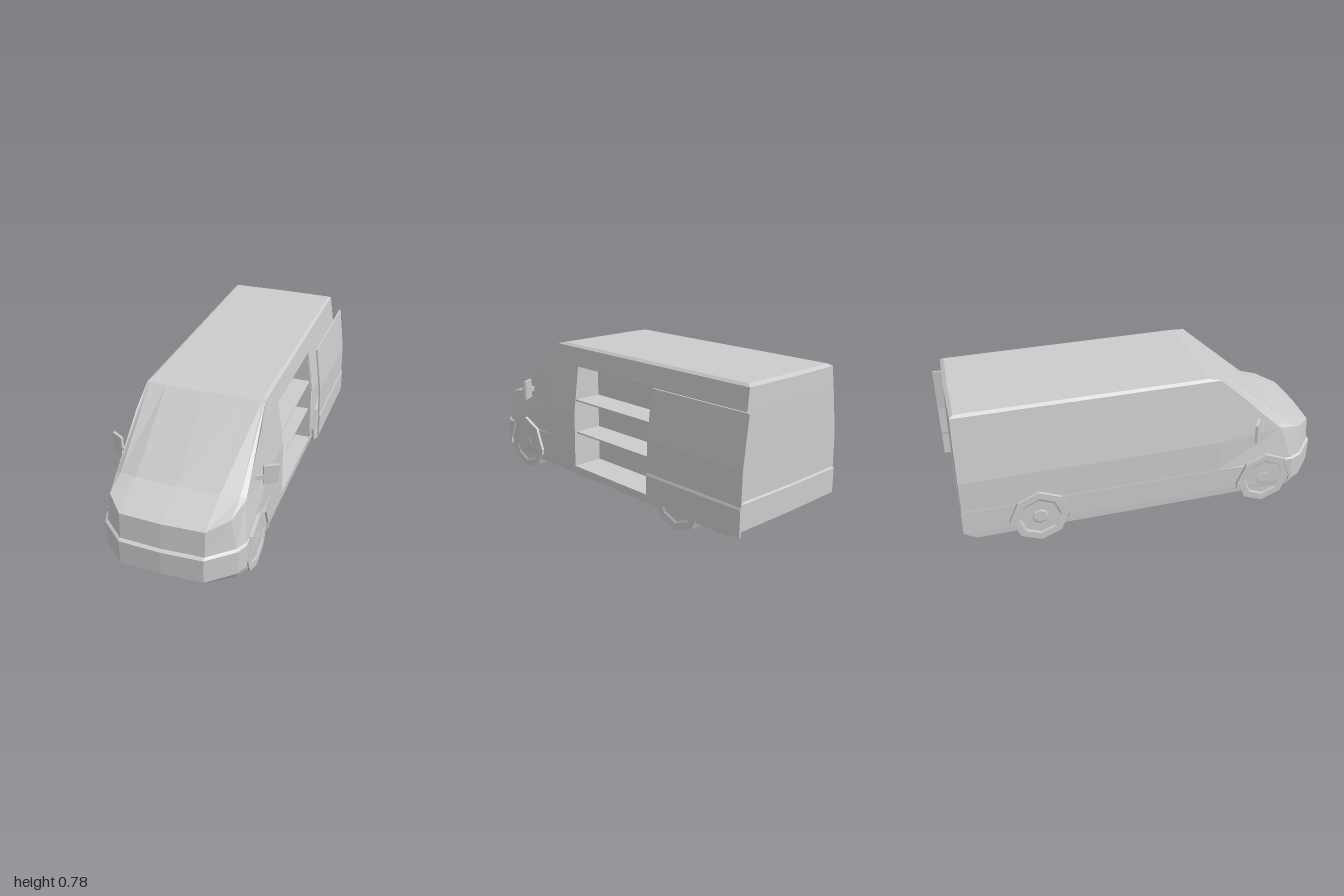
import * as THREE from 'three';

const grey = new THREE.MeshStandardMaterial({ color: 0xcccccc, flatShading: true });

function add(parent, name, geometry, x = 0, y = 0, z = 0) {
  const mesh = new THREE.Mesh(geometry, grey);
  mesh.name = name;
  mesh.position.set(x, y, z);
  parent.add(mesh);
  return mesh;
}

const box = (w, h, d) => new THREE.BoxGeometry(w, h, d);

// Half outlines of the body, front centre -> left side -> rear centre.
// Each level: front points [x, y, z], then one side x and y, then rear z.
function level(front, x, y, rearZ, pillarZ = 0.4) {
  return [
    ...front,
    [x, y, pillarZ], [x, y, 0.22], [x, y, -0.37],
    [x, y, rearZ], [0, y, rearZ - 0.005],
  ];
}

const at = (y, pts) => pts.map(([x, z]) => [x, y, z]);
const bumper = [[0, 1.0], [0.21, 0.99], [0.335, 0.88], [0.36, 0.82]];
const LEVELS = [
  level(at(0.08, [[0, 0.96], [0.2, 0.95], [0.32, 0.86], [0.354, 0.8]]), 0.352, 0.08, -0.9),
  level(at(0.12, bumper), 0.354, 0.12, -0.962),
  level(at(0.248, bumper), 0.354, 0.248, -0.962),
  level(at(0.257, [[0, 0.983], [0.21, 0.973], [0.325, 0.87], [0.353, 0.81]]), 0.353, 0.257, -0.956),
  level([[0, 0.39, 0.972], [0.21, 0.39, 0.962], [0.3, 0.415, 0.87], [0.328, 0.44, 0.75]], 0.351, 0.425, -0.956),
  level([[0, 0.467, 0.78], [0.21, 0.465, 0.77], [0.3, 0.455, 0.75], [0.328, 0.448, 0.735]], 0.318, 0.672, -0.953, 0.505),
  level(at(0.77, [[0, 0.405], [0.2, 0.405], [0.29, 0.402], [0.303, 0.4]]), 0.304, 0.77, -0.95, 0.39),
  level(at(0.782, [[0, 0.34], [0.2, 0.34], [0.28, 0.34], [0.288, 0.338]]), 0.289, 0.782, -0.93, 0.33),
];

function bodyGeometry() {
  const pos = [];
  const quad = (a, b, c, d) => pos.push(...a, ...b, ...c, ...a, ...c, ...d);
  const flip = ([x, y, z]) => [-x, y, z];
  const n = LEVELS[0].length;
  for (let l = 0; l < LEVELS.length - 1; l++) {
    for (let i = 0; i < n - 1; i++) {
      const a = LEVELS[l][i], b = LEVELS[l][i + 1];
      const c = LEVELS[l + 1][i + 1], d = LEVELS[l + 1][i];
      const opening = i === 5 && l >= 1 && l <= 4;   // side door opening, left only
      if (!opening) quad(a, b, c, d);
      quad(flip(b), flip(a), flip(d), flip(c));
    }
  }
  // floor and roof span from one side to the other
  const floor = LEVELS[0], roof = LEVELS[LEVELS.length - 1];
  for (let i = 0; i < n - 1; i++) {
    quad(roof[i], roof[i + 1], flip(roof[i + 1]), flip(roof[i]));
    quad(flip(floor[i]), flip(floor[i + 1]), floor[i + 1], floor[i]);
  }
  const g = new THREE.BufferGeometry();
  g.setAttribute('position', new THREE.Float32BufferAttribute(pos, 3));
  g.computeVertexNormals();
  return g;
}

// Extrude an x-y outline along z
function extrude(points, depth) {
  const shape = new THREE.Shape(points.map(([x, y]) => new THREE.Vector2(x, y)));
  return new THREE.ExtrudeGeometry(shape, { depth, bevelEnabled: false });
}

// Eight-sided wheel with a recessed face, outer side towards +x
function wheelGeometry() {
  const profile = [[0, -0.058], [0.15, -0.058], [0.15, 0.058], [0.112, 0.058], [0.1, 0.053], [0.045, 0.053], [0.035, 0.057], [0, 0.057]];
  return new THREE.LatheGeometry(profile.map(([r, y]) => new THREE.Vector2(r, y)), 8).rotateZ(-Math.PI / 2);
}

// Faceted lip over a wheel
function archGeometry() {
  const angles = [-12, 0, 45, 90, 135, 180, 192].map(a => a * Math.PI / 180);
  const ring = r => angles.map(a => [r * Math.cos(a), r * Math.sin(a)]);
  return extrude([...ring(0.16), ...ring(0.147).reverse()], 0.03).rotateY(Math.PI / 2);
}

export function createModel() {
  const van = new THREE.Group();
  van.name = 'van';

  add(van, 'body', bodyGeometry());

  // Shelved compartment behind the open side door
  const cabinet = new THREE.Group();
  cabinet.name = 'cabinet';
  van.add(cabinet);
  add(cabinet, 'backWall', box(0.01, 0.55, 0.6), 0.175, 0.396, -0.075);
  add(cabinet, 'cabinetFloor', box(0.175, 0.01, 0.6), 0.265, 0.117, -0.075);
  add(cabinet, 'cabinetTop', box(0.14, 0.01, 0.6), 0.247, 0.677, -0.075);
  for (const y of [0.31, 0.49]) add(cabinet, 'shelf', box(0.16, 0.008, 0.59), 0.255, y, -0.075);
  const endOutline = [[0.175, 0.12], [0.35, 0.12], [0.35, 0.257], [0.347, 0.425], [0.315, 0.672], [0.175, 0.672]];
  for (const z of [0.215, -0.373]) add(cabinet, 'endWall', extrude(endOutline, 0.008), 0, 0, z);

  // Sliding door, slid back and clear of the body
  const door = [[0.39, 0.122], [0.4, 0.122], [0.4, 0.25], [0.395, 0.262], [0.391, 0.43],
    [0.36, 0.675], [0.351, 0.675], [0.382, 0.43], [0.386, 0.262], [0.39, 0.25]];
  add(van, 'slidingDoor', extrude(door, 0.595), 0, 0, -1.0);

  // Wheels, arches and mirrors on both sides
  const wheel = wheelGeometry(), arch = archGeometry();
  for (const side of [1, -1]) {
    const half = new THREE.Group();
    half.name = side > 0 ? 'leftSide' : 'rightSide';
    half.scale.x = side;
    van.add(half);
    for (const z of [0.66, -0.57]) {
      add(half, 'wheel', wheel, 0.302, 0.15, z);
      add(half, 'wheelArch', arch, 0.34, 0.147, z);
    }
    add(half, 'mirrorArm', box(0.065, 0.024, 0.012), 0.352, 0.483, 0.6).rotation.y = 0.55;
    add(half, 'mirror', box(0.075, 0.103, 0.014), 0.394, 0.493, 0.577).rotation.y = 0.55;
  }
  return van;
}
